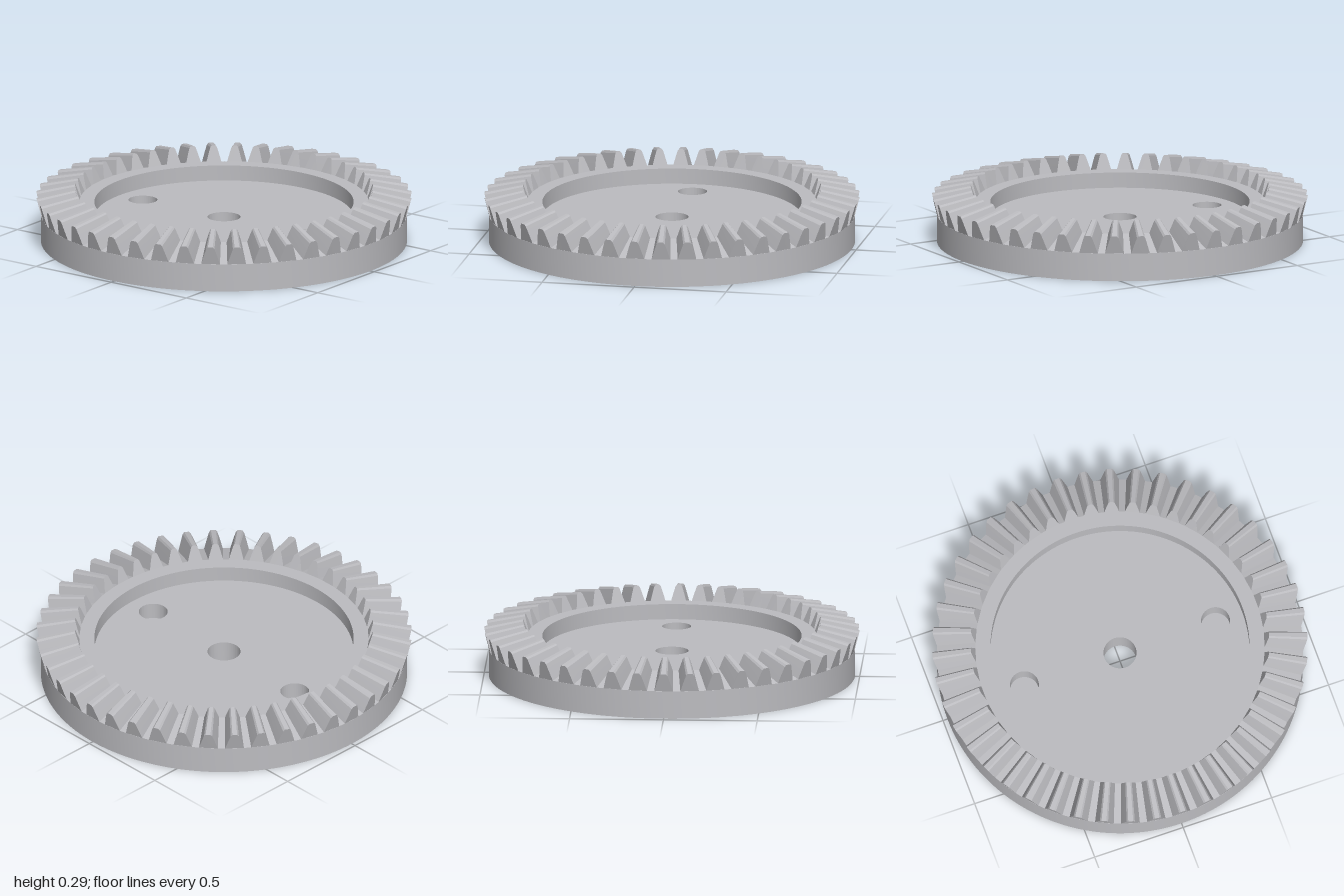
import * as THREE from 'three';
import { mergeGeometries, toCreasedNormals } from 'three/addons/utils/BufferGeometryUtils.js';

const TEETH = 44;
const CREASE = 0.25;

// One end of a tooth: a tapering outline between its root and tip, wrapped around the axis
function toothSection(rootR, rootY, tipR, tipY, scale) {
  const flank = [[0.05, 0], [0.035, 0.5], [0.022, 0.9], [0.013, 1]];
  const outline = [
    ...flank.map(([w, t]) => [-w, t]),
    ...flank.map(([w, t]) => [w, t]).reverse(),
  ];
  return outline.map(([w, t]) => {
    const r = THREE.MathUtils.lerp(rootR, tipR, t);
    const a = (w * scale) / r;
    return [r * Math.sin(a), THREE.MathUtils.lerp(rootY, tipY, t), r * Math.cos(a)];
  });
}

function toothGeometry() {
  const outer = toothSection(0.975, 0.15, 1.0, 0.25, 1);
  const inner = toothSection(0.77, 0.213, 0.795, 0.294, 0.79);
  const n = outer.length;
  const index = [];
  for (let i = 0; i < n - 1; i++) {
    index.push(i, i + 1, n + i + 1, i, n + i + 1, n + i); // flanks and tip
    if (i > 0) {
      index.push(0, i + 1, i); // outer end
      index.push(n, n + i, n + i + 1); // inner end
    }
  }
  const g = new THREE.BufferGeometry();
  g.setAttribute('position', new THREE.Float32BufferAttribute([...outer, ...inner].flat(), 3));
  g.setIndex(index);
  return toCreasedNormals(g, CREASE);
}

// Flat disc between two heights with round holes, each given as [z, radius]
function disc(radius, y0, y1, holes) {
  const shape = new THREE.Shape().absarc(0, 0, radius, 0, Math.PI * 2);
  for (const [z, r] of holes) {
    shape.holes.push(new THREE.Path().absarc(0, -z, r, 0, Math.PI * 2, true));
  }
  const g = new THREE.ExtrudeGeometry(shape, { depth: y1 - y0, bevelEnabled: false, curveSegments: 48 });
  g.rotateX(-Math.PI / 2).translate(0, y0, 0);
  return toCreasedNormals(g, CREASE);
}

export function createModel() {
  const group = new THREE.Group();
  const steel = new THREE.MeshStandardMaterial({ color: 0xbcbcc0 });
  steel.name = 'steel grey';
  const add = (name, geometry) => {
    const mesh = new THREE.Mesh(geometry, steel);
    mesh.name = name;
    group.add(mesh);
  };

  // Outer ring: underside, wall, sloping root cone, flat rim, recess wall
  const profile = [
    [0.68, 0], [0.975, 0], [0.975, 0.15], [0.77, 0.213], [0.69, 0.213], [0.69, 0.125],
  ].map(([r, y]) => new THREE.Vector2(r, y));
  add('rim', toCreasedNormals(new THREE.LatheGeometry(profile, TEETH * 4), CREASE));

  // Recessed web with a through bore and two blind pin holes
  const bore = [0, 0.088];
  add('webBase', disc(0.692, 0, 0.04, [bore]));
  add('webFloor', disc(0.692, 0.04, 0.13, [bore, [-0.54, 0.077], [0.54, 0.077]]));

  // Ring of bevel teeth
  const tooth = toothGeometry();
  const teeth = [];
  for (let i = 0; i < TEETH; i++) {
    teeth.push(tooth.clone().rotateY((i / TEETH) * Math.PI * 2));
  }
  add('teeth', mergeGeometries(teeth));

  return group;
}
